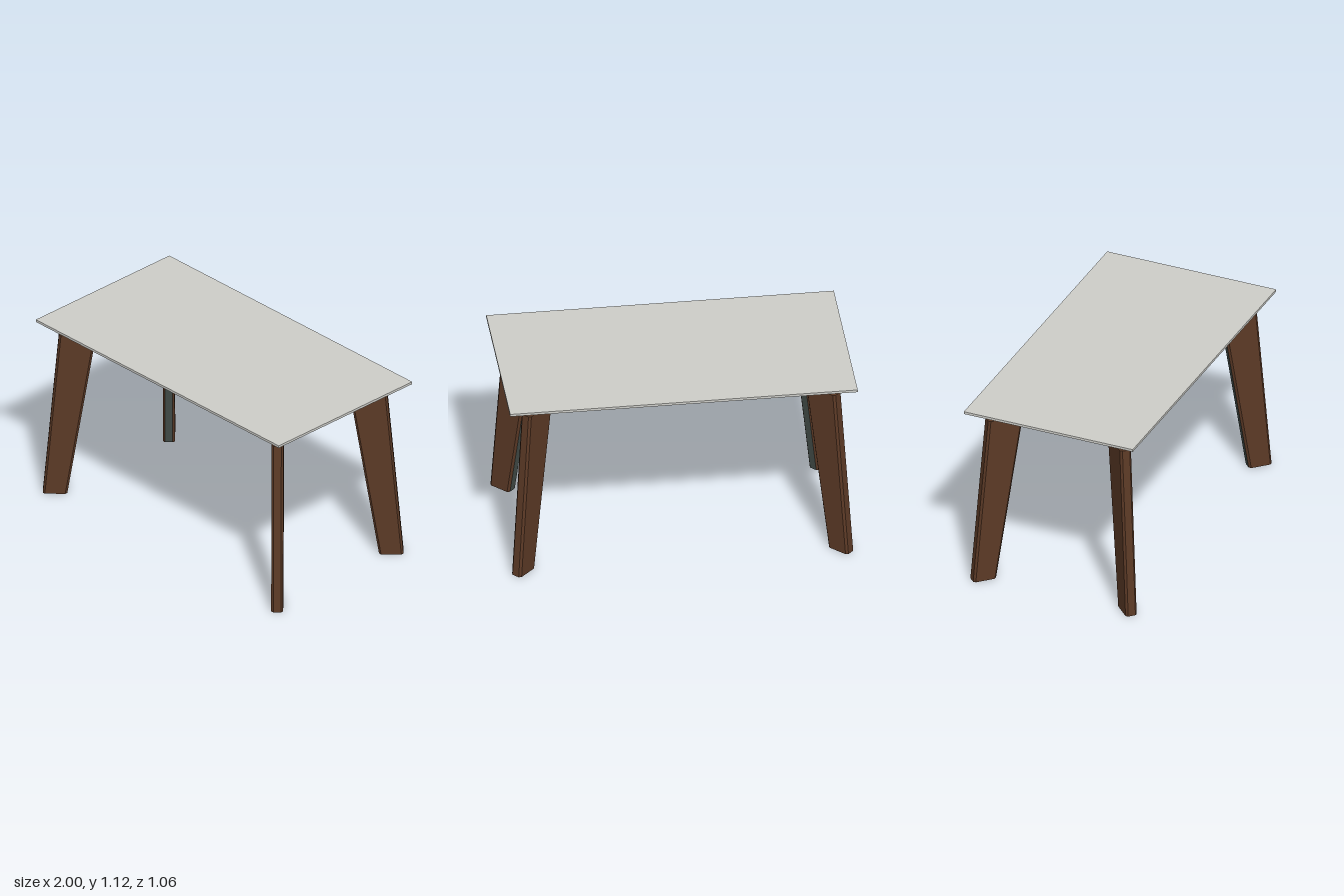
import * as THREE from 'three';

const walnut = new THREE.MeshStandardMaterial({ color: 0x5c3a26 });
walnut.name = 'walnut brown';
const slate = new THREE.MeshStandardMaterial({ color: 0x46504c });
slate.name = 'slate';
const railTaupe = new THREE.MeshStandardMaterial({ color: 0x7a6c5c });
railTaupe.name = 'taupe';
const topGrey = new THREE.MeshStandardMaterial({ color: 0xcfcfca });
topGrey.name = 'pale grey';

const HALF = 0.034;    // half thickness of a leg plank
const CHAMFER = 0.012; // bevel on the plank's long edges
const SHELF = 1.04;    // height of the notch in the leg
const UNDER = 1.105;   // underside of the table top

// Bevelled plank section from inner edge to outer edge, counterclockwise from above
function section(y, inner, outer, co) {
  const c = CHAMFER, h = HALF;
  return [
    [outer, h - co], [outer, co - h], [outer - co, -h], [inner + c, -h],
    [inner, c - h], [inner, h - c], [inner + c, h], [outer - co, h],
  ].map(([x, z]) => new THREE.Vector3(x, y, z));
}

// Flat-sided loft between two sections; the inner edge face gets the second material
function loft(low, high) {
  const brown = [], inner = [];
  const n = low.length;
  for (let i = 0; i < n; i++) {
    const j = (i + 1) % n;
    const target = i === 4 ? inner : brown;
    target.push(low[i], low[j], high[j], low[i], high[j], high[i]);
  }
  for (let i = 1; i < n - 1; i++) {
    brown.push(high[0], high[i], high[i + 1], low[0], low[i + 1], low[i]);
  }
  const geometry = new THREE.BufferGeometry().setFromPoints([...brown, ...inner]);
  geometry.addGroup(0, brown.length, 0);
  geometry.addGroup(brown.length, inner.length, 1);
  geometry.computeVertexNormals();
  return geometry;
}

function box(name, material, size, position) {
  const mesh = new THREE.Mesh(new THREE.BoxGeometry(...size), material);
  mesh.name = name;
  mesh.position.set(...position);
  return mesh;
}

// One splayed leg, its outward direction along local +x
function makeLeg(name) {
  const leg = new THREE.Group();
  leg.name = name;
  const parts = {
    legPlank: loft(section(0, -0.07, 0.07, CHAMFER), section(SHELF, -0.235, -0.022, CHAMFER)),
    legTenon: loft(section(SHELF, -0.235, -0.131, 0.003), section(UNDER, -0.245, -0.138, 0.003)),
  };
  for (const [part, geometry] of Object.entries(parts)) {
    const mesh = new THREE.Mesh(geometry, [walnut, slate]);
    mesh.name = part;
    leg.add(mesh);
  }
  return leg;
}

export function createModel() {
  const table = new THREE.Group();
  table.name = 'table';

  // Thin table top
  table.add(box('tableTop', topGrey, [2, 0.015, 1.056], [0, UNDER + 0.0075, 0]));

  const base = new THREE.Group();
  base.name = 'base';
  base.position.z = 0.006;
  table.add(base);

  // Four diagonal legs
  for (const sx of [-1, 1]) {
    for (const sz of [-1, 1]) {
      const leg = makeLeg((sz > 0 ? 'front' : 'back') + (sx > 0 ? 'Left' : 'Right') + 'Leg');
      leg.position.set(sx * 0.915, 0, sz * 0.451);
      leg.rotation.y = Math.atan2(-sz, sx);
      base.add(leg);
    }
  }

  // Rail frame with two lighter cross bars
  const X = 0.75, Z = 0.285, T = 0.04;
  const railH = UNDER - SHELF, railY = (UNDER + SHELF) / 2;
  for (const s of [-1, 1]) {
    base.add(box('longRail', railTaupe, [2 * X, railH, T], [0, railY, s * (Z - T / 2)]));
    base.add(box('endRail', railTaupe, [T, railH, 2 * (Z - T)], [s * (X - T / 2), railY, 0]));
    base.add(box('crossBar', railTaupe, [0.035, 0.04, 2 * (Z - T)], [s * 0.37, UNDER - 0.02, 0]));
  }
  return table;
}
